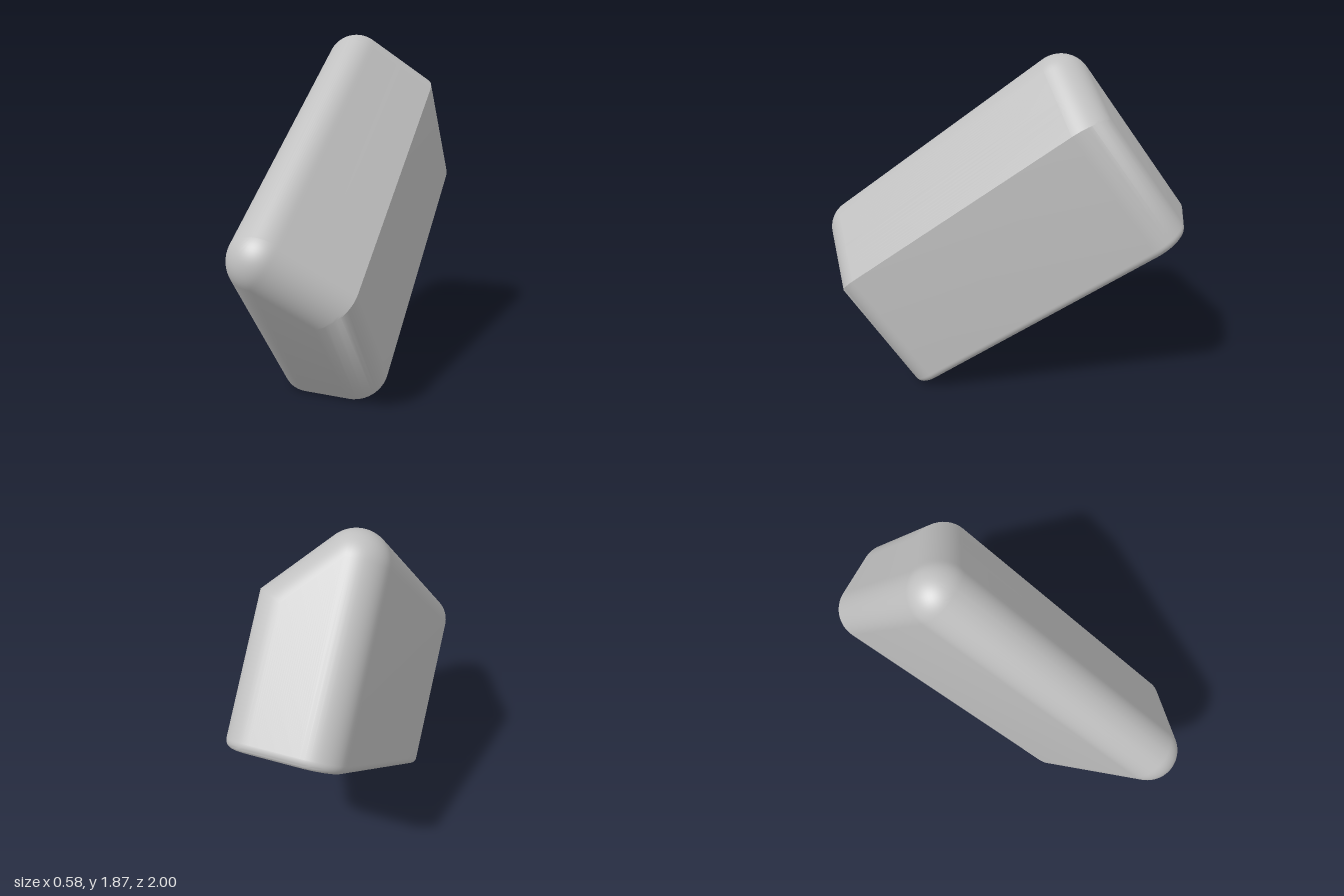
import * as THREE from 'three';
import { toCreasedNormals } from 'three/addons/utils/BufferGeometryUtils.js';

const CX = 0.125, CZ = 0.732;   // core rectangle of the footprint (half sizes)
const R = 0.165, WALL = 0.085;  // outer rounding and wall thickness
const SPINE = 0.92;             // height of the rounded ridge's axis
const N = 12, E = 24, T = 16;   // corner, end-edge and fillet segments

// Footprint loop: core rectangle grown by rad, with rounded corners
function footprint(rad) {
  const pts = [];
  [[1, 1], [-1, 1], [-1, -1], [1, -1]].forEach(([sx, sz], q) => {
    for (let i = 0; i <= N; i++) {
      const a = (q + i / N) * Math.PI / 2;
      pts.push([sx * CX + rad * Math.cos(a), sz * CZ + rad * Math.sin(a)]);
    }
    if (q % 2 === 0) {
      for (let j = 1; j < E; j++) pts.push([sx * CX * (1 - 2 * j / E), sz * CZ + sz * rad]);
    }
  });
  return pts;
}

// Roof height: rounded ridge on one side running into a 45 degree slope
function roof(r, x, z) {
  const e = Math.max(0, Math.abs(z) - CZ);
  const rr = Math.sqrt(Math.max(0, r * r - e * e));
  const t = x + CX;
  if (t > rr * Math.SQRT1_2) return SPINE - t + rr * Math.SQRT2;
  return SPINE + Math.sqrt(Math.max(0, rr * rr - t * t));
}

function shellGeometry() {
  const rings = [];
  const roofRing = (r, k) => {
    const rad = k === T ? 0 : r * Math.cos(k / T * Math.PI / 2);
    rings.push(footprint(rad).map(([x, z]) => [x, roof(r, x, z), z]));
  };
  // Outer roof, rounded lip, then inner roof
  for (let k = T; k >= 0; k--) roofRing(R, k);
  const h = WALL / 2;
  for (let k = 0; k <= T; k++) {
    const a = k / T * Math.PI;
    const y = h - h * Math.sin(a);
    rings.push(footprint(R - h + h * Math.cos(a)).map(([x, z]) => [x, y, z]));
  }
  for (let k = 0; k <= T; k++) roofRing(R - WALL, k);

  const count = rings[0].length;
  const index = [];
  const quad = (a, b, c, d) => index.push(a, b, d, a, d, c);
  for (let k = 0; k < rings.length - 1; k++) {
    for (let i = 0; i < count; i++) {
      const j = (i + 1) % count, o = k * count;
      quad(o + i, o + j, o + count + i, o + count + j);
    }
  }
  // Lengthwise strips closing the roof outside and inside
  const last = (rings.length - 1) * count;
  for (let j = 0; j < E; j++) {
    const front = N + j, back = 3 * N + 2 * E + 1 - j;
    quad(front + 1, front, back - 1, back);
    quad(last + front, last + front + 1, last + back, last + back - 1);
  }
  const geo = new THREE.BufferGeometry();
  geo.setAttribute('position', new THREE.Float32BufferAttribute(rings.flat(2), 3));
  geo.setIndex(index);
  return toCreasedNormals(geo, 0.6);
}

export function createModel() {
  const grey = new THREE.MeshStandardMaterial({ color: 0xc0c0c0 });
  grey.name = 'light grey';

  // Hollow cover, open underneath and tipped forward
  const cover = new THREE.Mesh(shellGeometry(), grey);
  cover.name = 'hollowCover';
  cover.rotation.x = THREE.MathUtils.degToRad(37.4);
  cover.position.set(0, 0.527, -0.306);

  const model = new THREE.Group();
  model.name = 'coverModel';
  model.add(cover);
  return model;
}
